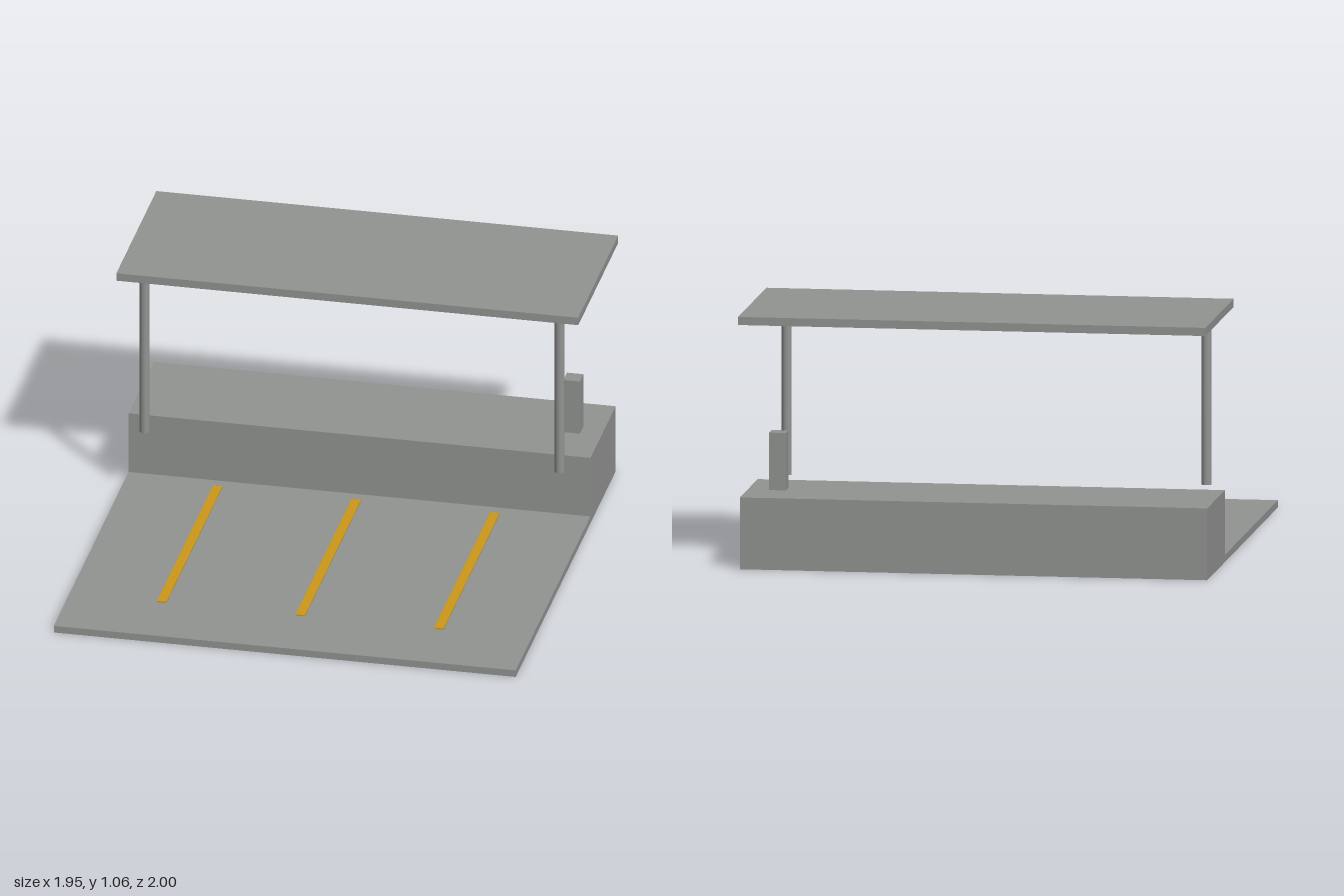
import * as THREE from 'three';

export function createModel() {
  const model = new THREE.Group();
  model.name = 'parkingShelter';

  const concrete = new THREE.MeshStandardMaterial({ color: 0x929492 });
  concrete.name = 'concrete grey';
  const paint = new THREE.MeshStandardMaterial({ color: 0xcc981a });
  paint.name = 'line yellow';

  const add = (name, geometry, material, x, y, z) => {
    const mesh = new THREE.Mesh(geometry, material);
    mesh.name = name;
    mesh.position.set(x, y, z);
    model.add(mesh);
  };

  // Box given by its extents along each axis
  const addBox = (name, material, [x0, x1], [y0, y1], [z0, z1]) =>
    add(name, new THREE.BoxGeometry(x1 - x0, y1 - y0, z1 - z0), material,
      (x0 + x1) / 2, (y0 + y1) / 2, (z0 + z1) / 2);

  const width = [-0.975, 0.975];

  // Paved forecourt, with the long block along its back edge
  addBox('forecourt', concrete, width, [0, 0.03], [-0.46, 1]);
  addBox('backBlock', concrete, width, [0, 0.3], [-0.95, -0.46]);

  // Small upright pillar on the block
  addBox('pillar', concrete, [0.815, 0.885], [0.3, 0.54], [-0.74, -0.67]);

  // Flat canopy on two round posts
  addBox('canopy', concrete, width, [1.028, 1.062], [-1, -0.22]);
  const post = new THREE.CylinderGeometry(0.021, 0.021, 0.73, 24);
  for (const side of [-1, 1]) {
    add(side < 0 ? 'rightPost' : 'leftPost', post, concrete, side * 0.876, 0.664, -0.315);
  }

  // Painted bay lines
  [-0.585, 0, 0.585].forEach((x, i) =>
    addBox(`bayLine${i + 1}`, paint, [x - 0.0195, x + 0.0195], [0.03, 0.036], [-0.4, 0.695]));

  return model;
}
